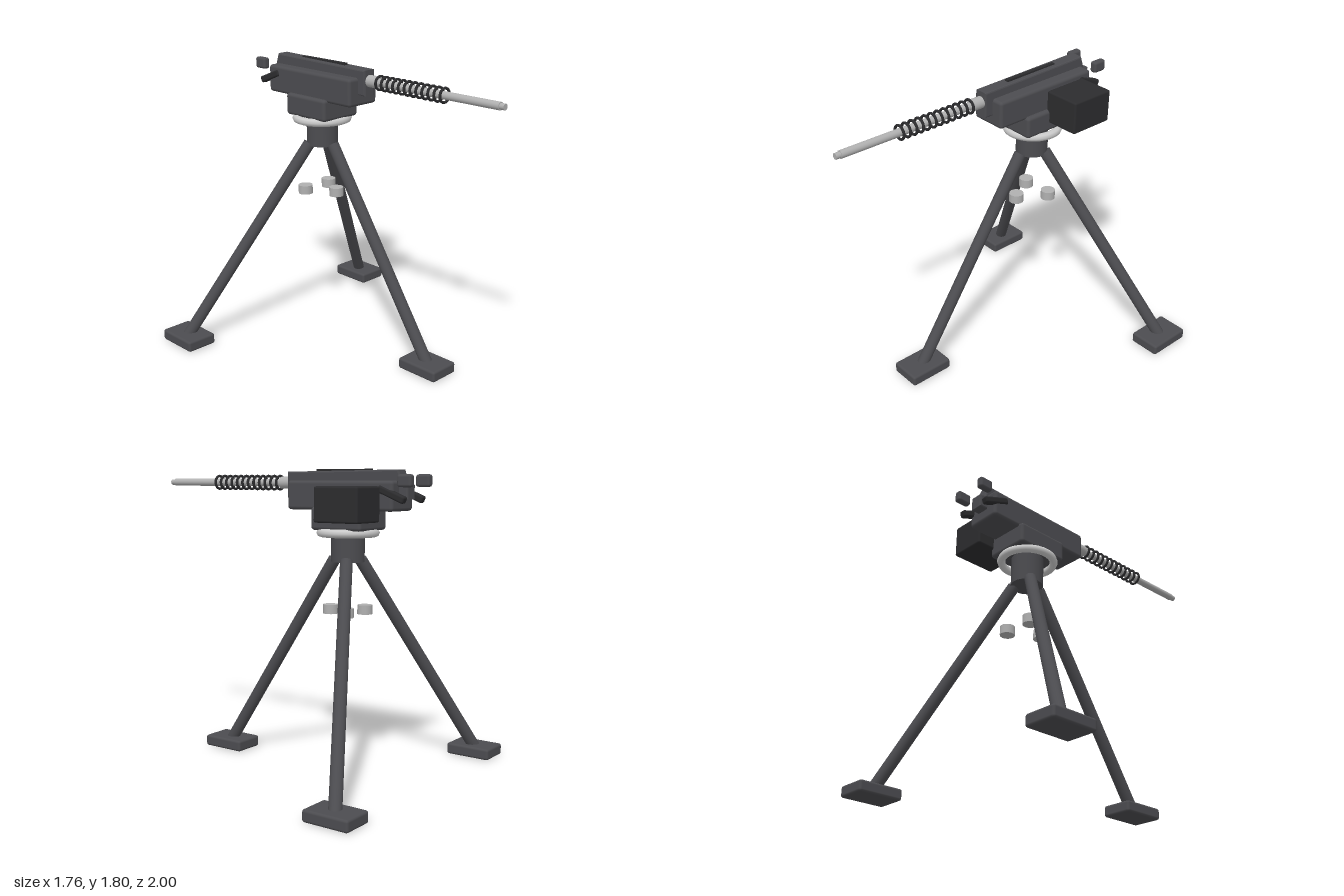
import * as THREE from 'three';
import { RoundedBoxGeometry } from 'three/addons/geometries/RoundedBoxGeometry.js';

const mat = (color) => new THREE.MeshStandardMaterial({ color });

export function createModel() {
  const model = new THREE.Group();
  const gunmetal = mat(0x4c4c50), dark = mat(0x2c2c2e), steel = mat(0xb0b0b0), pale = mat(0xcccccc);
  const MID = -0.4;      // z of the tripod axis
  const BORE = 1.715;    // height of the barrel axis

  const add = (name, geometry, material, x = 0, y = 0, z = 0) => {
    const mesh = new THREE.Mesh(geometry, material);
    mesh.name = name;
    mesh.position.set(x, y, z);
    model.add(mesh);
    return mesh;
  };
  // Rounded box given by its limits on each axis
  const block = (name, material, [x0, x1], [y0, y1], [z0, z1], r = 0.015) =>
    add(name, new RoundedBoxGeometry(x1 - x0, y1 - y0, z1 - z0, 2, r), material,
      (x0 + x1) / 2, (y0 + y1) / 2, (z0 + z1) / 2);
  // Cylinder between two points
  const rod = (name, material, a, b, r, sides = 20) => {
    const from = new THREE.Vector3(...a), to = new THREE.Vector3(...b);
    const dir = to.clone().sub(from);
    const mesh = add(name, new THREE.CylinderGeometry(r, r, dir.length(), sides), material);
    mesh.position.copy(from).add(to).multiplyScalar(0.5);
    mesh.quaternion.setFromUnitVectors(new THREE.Vector3(0, 1, 0), dir.normalize());
    return mesh;
  };

  // Tripod: legs, feet and the loose collars between the legs
  const legs = [
    { foot: [0, 0.5], top: [0, -0.305], collar: [0, -0.28] },
    { foot: [0.78, -0.857], top: [0.075, -0.44], collar: [0.1, -0.457] },
    { foot: [-0.78, -0.857], top: [-0.075, -0.44], collar: [-0.1, -0.457] },
  ];
  for (const { foot, top, collar } of legs) {
    rod('leg', gunmetal, [top[0], 1.27, top[1]], [foot[0], 0.05, foot[1]], 0.037);
    block('foot', gunmetal, [foot[0] - 0.1, foot[0] + 0.1], [0, 0.07], [foot[1] - 0.143, foot[1] + 0.143]);
    rod('collar', steel, [collar[0], 0.945, collar[1]], [collar[0], 1, collar[1]], 0.045);
  }

  // Hub and swivel ring
  rod('hub', gunmetal, [0, 1.26, MID], [0, 1.46, MID], 0.098, 32);
  add('swivelRing', new THREE.TorusGeometry(0.16, 0.025, 8, 40), pale, 0, 1.43, MID).rotation.x = Math.PI / 2;

  // Cradle and receiver
  block('cradle', gunmetal, [-0.143, 0.143], [1.445, 1.58], [-0.575, -0.23], 0.02);
  block('receiver', gunmetal, [-0.115, 0.115], [1.56, 1.73], [-0.765, -0.04], 0.02);

  // Top cover: side profile (z, y) extruded across x
  const profile = new THREE.Shape([
    [0.005, 1.635], [0.005, 1.772], [-0.22, 1.775], [-0.75, 1.783],
    [-0.775, 1.71], [-0.81, 1.70], [-0.81, 1.635],
  ].map(([z, y]) => new THREE.Vector2(-z, y)));
  const coverGeometry = new THREE.ExtrudeGeometry(profile, {
    depth: 0.066, bevelEnabled: true, bevelThickness: 0.009, bevelSize: 0.009, bevelSegments: 2,
  });
  coverGeometry.translate(0, 0, -0.033).rotateY(Math.PI / 2);
  add('topCover', coverGeometry, gunmetal);
  add('coverStrip', new THREE.BoxGeometry(0.025, 0.016, 0.375), dark, 0, 1.788, -0.37);

  // Ammunition box on the left side
  block('ammoBox', dark, [0.117, 0.35], [1.5, 1.7], [-0.69, -0.4], 0.012);

  // Rear handles and grips
  for (const side of [-1, 1]) {
    const handle = add('handle', new RoundedBoxGeometry(0.045, 0.042, 0.18, 2, 0.012), dark,
      side * 0.102, 1.655, -0.755);
    handle.rotation.x = -0.38;
    block('grip', gunmetal, [side * 0.102 - 0.023, side * 0.102 + 0.023], [1.695, 1.765], [-0.885, -0.795]);
  }

  // Barrel with its collar, muzzle and cooling rings
  rod('barrel', steel, [0, BORE, -0.02], [0, BORE, 0.97], 0.023, 24);
  rod('barrelCollar', steel, [0, BORE, -0.02], [0, BORE, 0.085], 0.036, 24);
  rod('muzzle', steel, [0, BORE, 0.96], [0, BORE, 1], 0.018, 24);
  for (let i = 0; i < 12; i++) {
    add('coolingRing', new THREE.TorusGeometry(0.04, 0.008, 8, 28), dark, 0, BORE, 0.1 + i * 0.0443);
  }

  return model;
}
